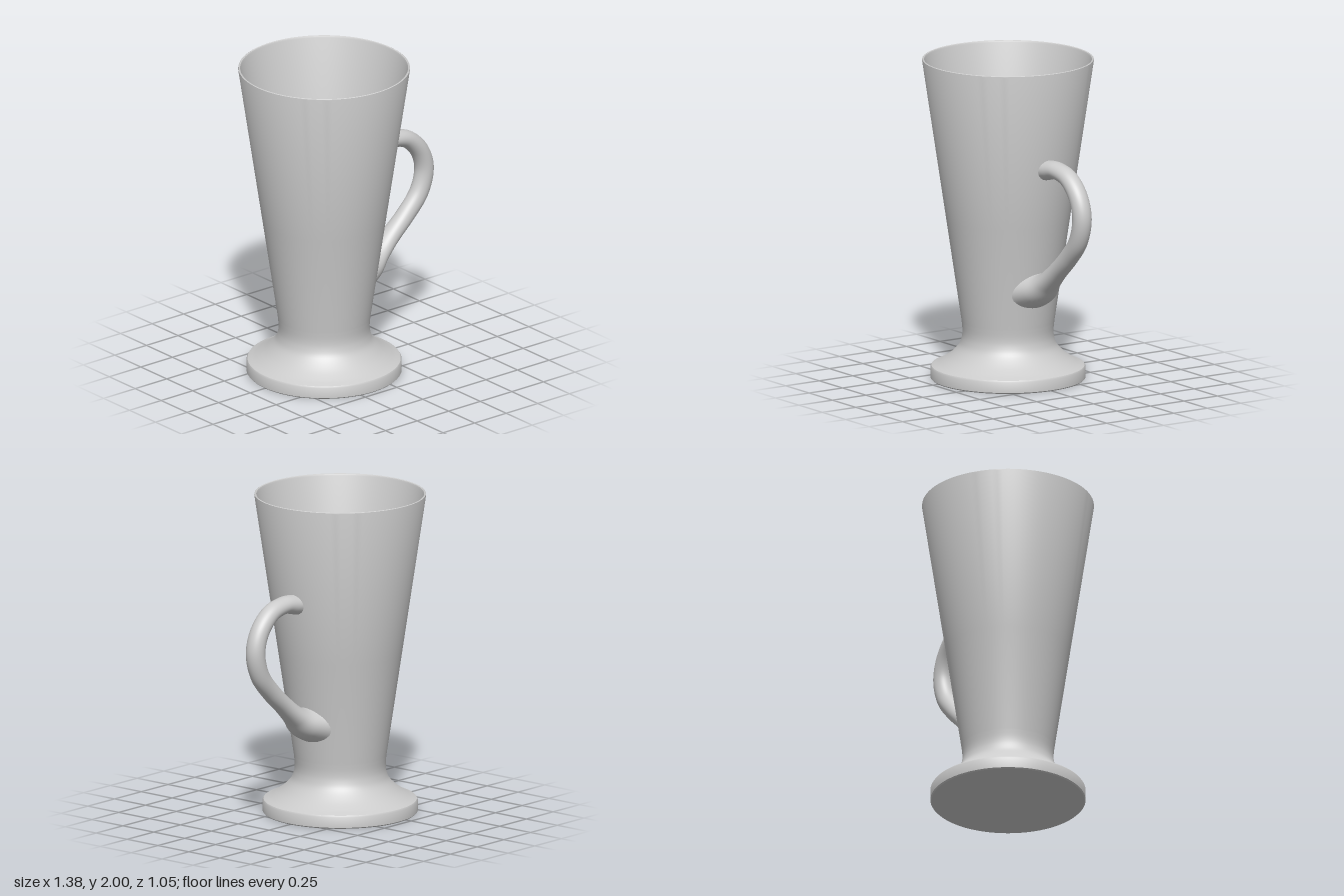
import * as THREE from 'three';
import { toCreasedNormals } from 'three/addons/utils/BufferGeometryUtils.js';

const AXIS_X = -0.165; // the cup stands off centre to leave room for the handle
const V2 = (x, y) => new THREE.Vector2(x, y);
const wallRadius = (y) => 0.284 + (0.527 - 0.284) * (y - 0.36) / (2 - 0.36);

// Round body: foot, flared waist, tapered wall, thin rim and hollow inside
function createCup(material) {
  const waist = new THREE.SplineCurve([
    V2(0.455, 0.088), V2(0.42, 0.105), V2(0.36, 0.145), V2(0.305, 0.2),
    V2(0.284, 0.25), V2(0.279, 0.3), V2(0.284, 0.36),
  ]).getPoints(24);
  const floor = new THREE.QuadraticBezierCurve(
    V2(0.264, 0.36), V2(0.256, 0.28), V2(0.215, 0.275)).getPoints(8);
  const profile = [
    V2(0, 0), V2(0.468, 0), V2(0.475, 0.007), V2(0.475, 0.072), V2(0.469, 0.082),
    ...waist,
    V2(wallRadius(1), 1), V2(0.526, 1.99), V2(0.525, 1.997), V2(0.52, 2),
    V2(0.514, 1.997), V2(0.51, 1.988), V2(wallRadius(1) - 0.018, 1),
    ...floor, V2(0, 0.275),
  ];
  const geometry = toCreasedNormals(new THREE.LatheGeometry(profile, 96), 0.6);
  const cup = new THREE.Mesh(geometry, material);
  cup.name = 'cup';
  cup.position.x = AXIS_X;
  return cup;
}

// Handle: oval sections swept along a curve, flaring where they meet the wall
function createHandle(material) {
  // x, y, half thickness in the plane of the handle, half width along z
  const sections = [
    [0.2, 1.365, 0.068, 0.078], [0.28, 1.38, 0.06, 0.072], [0.37, 1.389, 0.053, 0.064],
    [0.49, 1.357, 0.055, 0.06], [0.588, 1.26, 0.058, 0.06], [0.626, 1.13, 0.06, 0.06],
    [0.585, 0.985, 0.06, 0.058], [0.48, 0.862, 0.058, 0.058], [0.36, 0.755, 0.057, 0.066],
    [0.26, 0.672, 0.066, 0.09], [0.175, 0.62, 0.098, 0.132], [0.06, 0.588, 0.125, 0.182],
  ];
  const path = new THREE.CatmullRomCurve3(
    sections.map(([x, y]) => new THREE.Vector3(x, y, 0)), false, 'catmullrom');
  const size = new THREE.CatmullRomCurve3(
    sections.map(([, , a, b]) => new THREE.Vector3(a, b, 0)), false, 'catmullrom');

  const rings = 110, sides = 40;
  const positions = [], indices = [];
  for (let i = 0; i <= rings; i++) {
    const t = i / rings;
    const centre = path.getPoint(t), tangent = path.getTangent(t), half = size.getPoint(t);
    for (let j = 0; j < sides; j++) {
      const angle = (j / sides) * Math.PI * 2;
      const across = Math.cos(angle) * half.x;
      let x = centre.x - tangent.y * across - AXIS_X;
      const y = centre.y + tangent.x * across;
      let z = Math.sin(angle) * half.y;
      // keep the buried ends within the wall, so none shows inside the cup
      const push = Math.max(1, (wallRadius(y) - 0.006) / Math.hypot(x, z));
      x *= push;
      z *= push;
      positions.push(x + AXIS_X, y, z);
      if (i < rings) {
        const a = i * sides + j, b = i * sides + (j + 1) % sides;
        indices.push(a, b, a + sides, b, b + sides, a + sides);
      }
    }
  }
  const geometry = new THREE.BufferGeometry();
  geometry.setAttribute('position', new THREE.Float32BufferAttribute(positions, 3));
  geometry.setIndex(indices);
  geometry.computeVertexNormals();
  const handle = new THREE.Mesh(geometry, material);
  handle.name = 'handle';
  return handle;
}

export function createModel() {
  const material = new THREE.MeshStandardMaterial({ color: 0xcccccc });
  const mug = new THREE.Group();
  mug.name = 'mug';
  mug.add(createCup(material), createHandle(material));
  return mug;
}
